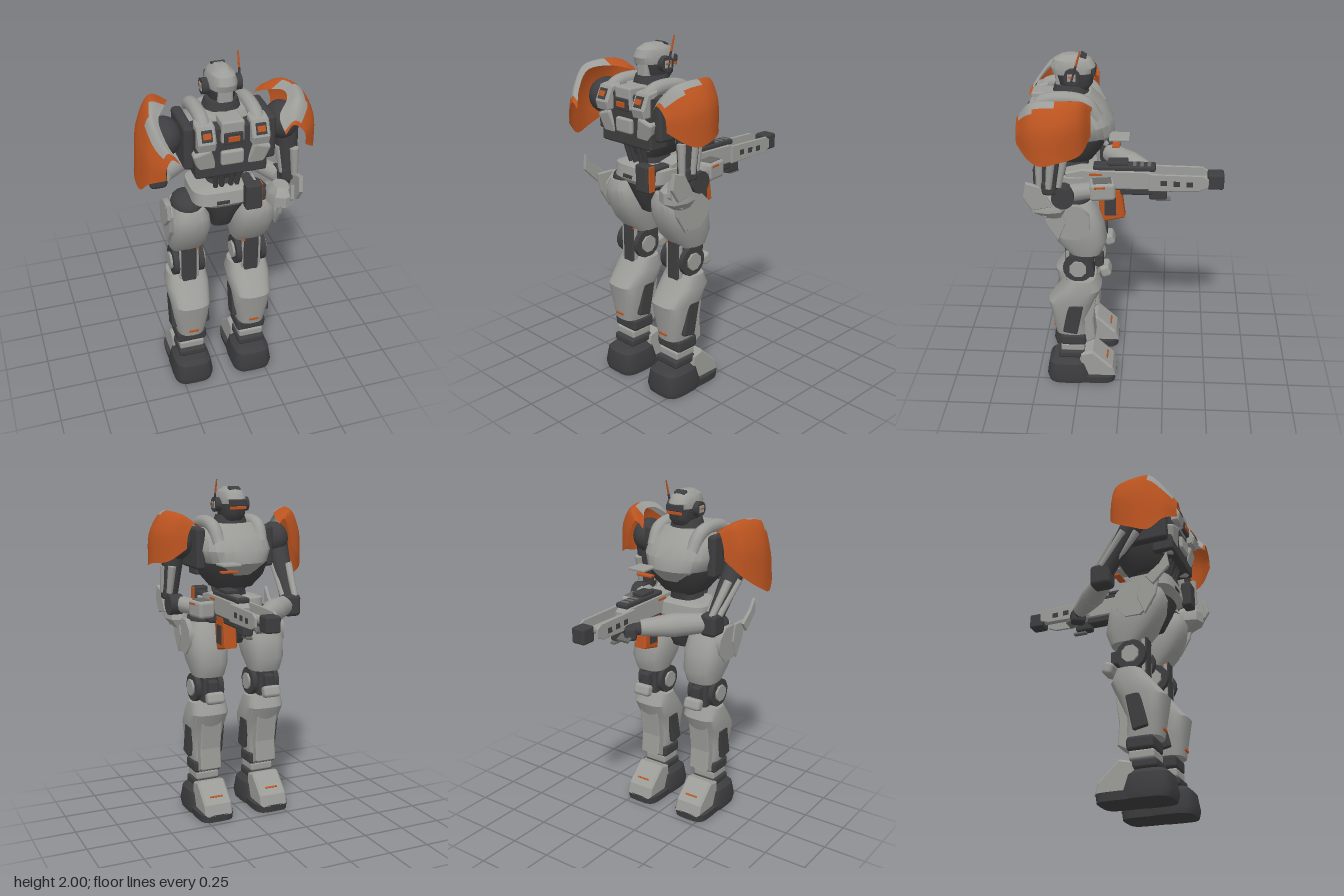
import * as THREE from 'three';
import { toCreasedNormals } from 'three/addons/utils/BufferGeometryUtils.js';
import { RoundedBoxGeometry } from 'three/addons/geometries/RoundedBoxGeometry.js';

const mat = (name, color, side = THREE.FrontSide) => {
  const m = new THREE.MeshStandardMaterial({ color, side });
  m.name = name;
  return m;
};
const GREY = mat('armour grey', 0x9c9c99), DARK = mat('dark frame', 0x3e3e40), MID = mat('mechanical grey', 0x686867);
const ORANGE = mat('orange paint', 0xbc5420), SHELL_GREY = mat('shell grey', 0x9c9c99, THREE.DoubleSide);
const SHELL_ORANGE = mat('shell orange', 0xbc5420, THREE.DoubleSide);
const V = (x, y, z) => new THREE.Vector3(x, y, z);

function add(g, name, geo, m, x = 0, y = 0, z = 0, rx = 0, ry = 0, rz = 0) {
  const mesh = new THREE.Mesh(geo, m);
  mesh.name = name;
  mesh.position.set(x, y, z);
  mesh.rotation.set(rx, ry, rz);
  g.add(mesh);
  return mesh;
}
const group = (parent, name, x = 0) => {
  const g = new THREE.Group();
  g.name = name;
  g.position.x = x;
  parent.add(g);
  return g;
};
const box = (w, h, d, r = 0.012) => new RoundedBoxGeometry(w, h, d, 2, Math.min(r, w / 3, h / 3, d / 3));
const cyl = (r1, r2, h, n = 16) => new THREE.CylinderGeometry(r1, r2, h, n);
const discX = (r, w, n = 16) => cyl(r, r, w, n).rotateY(Math.PI / n).rotateZ(Math.PI / 2);
const ball = (x, y, z) => new THREE.SphereGeometry(1, 16, 10).scale(x, y, z);

// Tapered rod between two points
function limb(g, name, a, b, ra, rb, m, n = 12) {
  const d = b.clone().sub(a), mid = a.clone().add(b).multiplyScalar(0.5);
  const mesh = add(g, name, cyl(rb, ra, d.length(), n), m, mid.x, mid.y, mid.z);
  mesh.quaternion.setFromUnitVectors(V(0, 1, 0), d.normalize());
}

function indexed(pos, idx) {
  const geo = new THREE.BufferGeometry();
  geo.setAttribute('position', new THREE.Float32BufferAttribute(pos, 3));
  geo.setIndex(idx);
  return geo;
}

// Closed body from rounded-square rings [y, centreZ, radiusX, radiusZ], bottom to top
function loft(rings, p = 0.7, n = 24) {
  const pos = [], idx = [], pw = v => Math.sign(v) * Math.abs(v) ** p;
  for (const [y, cz, rx, rz] of rings)
    for (let j = 0; j < n; j++) {
      const a = j / n * Math.PI * 2;
      pos.push(rx * pw(Math.cos(a)), y, cz + rz * pw(Math.sin(a)));
    }
  const last = rings.length - 1;
  for (let i = 0; i < last; i++)
    for (let j = 0; j < n; j++) {
      const k = (j + 1) % n, a = i * n + j, b = i * n + k;
      idx.push(a, a + n, b, b, a + n, b + n);
    }
  const c0 = pos.length / 3;
  pos.push(0, rings[0][0], rings[0][1], 0, rings[last][0], rings[last][1]);
  for (let j = 0; j < n; j++) {
    const k = (j + 1) % n;
    idx.push(c0, j, k, c0 + 1, last * n + k, last * n + j);
  }
  return toCreasedNormals(indexed(pos, idx), 0.6);
}

// Side outline in (z, y), extruded across x
function side(points, w, bevel = 0.008) {
  const s = new THREE.Shape(points.map(q => new THREE.Vector2(q[0], q[1])));
  return new THREE.ExtrudeGeometry(s, { depth: w - 2 * bevel, bevelSize: bevel, bevelThickness: bevel, bevelSegments: 1 })
    .translate(0, 0, -w / 2 + bevel).rotateY(-Math.PI / 2);
}

// Shoulder shell through sections [z, x,y inner edge, x,y crest, x,y outside, x,y lower edge], split in two colours
function pauldron(g, s, sections, isGrey) {
  const N = 28, M = 20, pos = [], idx = [[], []];
  const rails = [1, 3, 5, 7].map(k => new THREE.CatmullRomCurve3(sections.map(q => V(s * q[k], q[k + 1], q[0])), false, 'centripetal'));
  for (let i = 0; i <= N; i++) {
    const curve = new THREE.CatmullRomCurve3(rails.map(r => r.getPoint(i / N)), false, 'centripetal');
    for (let j = 0; j <= M; j++) {
      pos.push(...curve.getPoint(j / M).toArray());
      if (i < N && j < M) {
        const a = i * (M + 1) + j, b = a + M + 1;
        idx[isGrey(i / N, j / M) ? 0 : 1].push(...(s > 0 ? [a, b, a + 1, b, b + 1, a + 1] : [a, a + 1, b, b, a + 1, b + 1]));
      }
    }
  }
  idx.forEach((list, i) => {
    const geo = indexed(pos, list);
    geo.computeVertexNormals();
    add(g, i ? 'shoulderShellPaint' : 'shoulderShellTop', geo, i ? SHELL_ORANGE : SHELL_GREY);
  });
}

function buildLeg(root, s) {
  const g = group(root, s > 0 ? 'leftLeg' : 'rightLeg', s * 0.182);
  // thigh and hip plate
  add(g, 'thigh', loft([[0.87, 0.2, 0.09, 0.09], [0.95, 0.22, 0.11, 0.14], [1.06, 0.255, 0.122, 0.155], [1.14, 0.275, 0.108, 0.145], [1.19, 0.28, 0.085, 0.12]]), GREY);
  add(g, 'hipPlate', discX(0.11, 0.03, 8), GREY, s * 0.11, 1.1, 0.27);
  add(g, 'hipJoint', ball(0.085, 0.065, 0.11), DARK, s * 0.005, 1.19, 0.28);
  add(g, 'thighTrim', box(0.07, 0.009, 0.008, 0.002), ORANGE, s * -0.02, 0.888, 0.308);
  // knee
  add(g, 'kneeCore', box(0.085, 0.26, 0.16), DARK, 0, 0.79, 0.235);
  for (const e of [-1, 1]) {
    add(g, 'kneeWheel', discX(0.085, 0.03), DARK, e * 0.072, 0.79, 0.24);
    add(g, 'kneeDisc', discX(0.05, 0.02, 8), GREY, e * 0.09, 0.79, 0.24);
    add(g, 'kneeStrut', box(0.01, 0.19, 0.02), GREY, e * 0.05, 0.79, 0.3);
  }
  add(g, 'kneeCap', box(0.11, 0.07, 0.06, 0.02), GREY, 0, 0.75, 0.09, 0.35);
  add(g, 'kneeCapLink', box(0.06, 0.08, 0.05), DARK, 0, 0.81, 0.125);
  // shin
  add(g, 'shin', loft([[0.33, 0.285, 0.08, 0.1], [0.44, 0.3, 0.1, 0.1], [0.55, 0.285, 0.113, 0.135], [0.64, 0.23, 0.122, 0.117], [0.71, 0.22, 0.11, 0.075]]), GREY);
  add(g, 'shinGuard', side([[0.16, 0.3], [0.23, 0.26], [0.25, 0.4], [0.2, 0.46], [0.14, 0.62], [0.17, 0.42]], 0.13), GREY);
  for (const e of [-1, 1]) add(g, 'shinVent', box(0.03, 0.2, 0.085), DARK, e * 0.098, 0.46, 0.275, -0.2);
  add(g, 'shinMark', box(0.055, 0.014, 0.008, 0.002), ORANGE, 0, 0.37, 0.392);
  // ankle
  add(g, 'ankleCuff', box(0.175, 0.075, 0.15, 0.02), DARK, 0, 0.295, 0.28);
  add(g, 'ankleShaft', box(0.1, 0.2, 0.11), MID, 0, 0.22, 0.29);
  add(g, 'anklePlate', box(0.145, 0.05, 0.14), GREY, 0, 0.235, 0.285);
  add(g, 'ankleBase', box(0.16, 0.05, 0.16, 0.02), DARK, 0, 0.185, 0.29);
  // foot
  add(g, 'heel', loft([[0, 0.31, 0.112, 0.125], [0.04, 0.31, 0.12, 0.135], [0.13, 0.315, 0.105, 0.115], [0.155, 0.315, 0.08, 0.09]], 0.55), DARK);
  add(g, 'sole', loft([[0, 0.16, 0.105, 0.125], [0.045, 0.16, 0.11, 0.13]], 0.5), DARK);
  add(g, 'toeCap', side([[0.24, 0.05], [0.23, 0.19], [0.17, 0.205], [0.06, 0.1], [0.045, 0.05]], 0.175, 0.012), GREY);
  add(g, 'toeMark', box(0.08, 0.008, 0.01, 0.001), ORANGE, 0, 0.141, 0.085, -0.76);
}

function buildTorso(root) {
  const g = group(root, 'torso');
  add(g, 'crotch', loft([[1.04, 0.27, 0.06, 0.07], [1.13, 0.27, 0.08, 0.12], [1.22, 0.28, 0.15, 0.13]]), DARK);
  add(g, 'pelvis', loft([[1.2, 0.28, 0.11, 0.12], [1.24, 0.29, 0.18, 0.15], [1.31, 0.29, 0.18, 0.14], [1.33, 0.29, 0.1, 0.1]], 0.5), GREY);
  add(g, 'pelvisSlot', box(0.07, 0.02, 0.008, 0.002), DARK, -0.03, 1.255, 0.438);
  add(g, 'waist', loft([[1.28, 0.29, 0.1, 0.1], [1.36, 0.28, 0.08, 0.09], [1.44, 0.28, 0.13, 0.13]]), DARK);
  add(g, 'abdomen', loft([[1.38, 0.28, 0.12, 0.12], [1.45, 0.27, 0.18, 0.16], [1.53, 0.26, 0.2, 0.19]]), DARK);
  add(g, 'chest', loft([[1.46, 0.24, 0.12, 0.14], [1.53, 0.245, 0.19, 0.2], [1.6, 0.245, 0.215, 0.195], [1.68, 0.265, 0.205, 0.16], [1.75, 0.28, 0.14, 0.11]], 0.82), GREY);
  add(g, 'collar', cyl(0.085, 0.11, 0.08), DARK, 0, 1.755, 0.28);
  add(g, 'backFrame', box(0.38, 0.28, 0.12), DARK, 0, 1.58, 0.41);
  add(g, 'backCore', box(0.12, 0.12, 0.13), GREY, 0, 1.695, 0.425);
  add(g, 'backScreen', box(0.1, 0.065, 0.02), DARK, 0, 1.665, 0.49);
  add(g, 'backLight', box(0.06, 0.028, 0.008, 0.002), ORANGE, 0, 1.665, 0.502);
  add(g, 'lowerCore', box(0.12, 0.08, 0.08), GREY, 0, 1.55, 0.45);
  add(g, 'lowerBlock', box(0.13, 0.05, 0.07), DARK, 0, 1.48, 0.43);
  for (const s of [-1, 1]) {
    const path = new THREE.CatmullRomCurve3([V(s * 0.13, 1.64, 0.13), V(s * 0.14, 1.73, 0.19), V(s * 0.14, 1.755, 0.31), V(s * 0.14, 1.73, 0.43), V(s * 0.14, 1.64, 0.47)]);
    add(g, 'shoulderStrap', new THREE.TubeGeometry(path, 20, 0.038, 10), GREY);
    add(g, 'backTower', side([[0.42, 1.625], [0.5, 1.625], [0.51, 1.66], [0.475, 1.735], [0.42, 1.745]], 0.095), GREY, s * 0.14);
    add(g, 'towerPanel', box(0.055, 0.06, 0.008, 0.002), DARK, s * 0.14, 1.7, 0.501, -0.44);
    add(g, 'towerLamp', box(0.042, 0.03, 0.008, 0.002), ORANGE, s * 0.14, 1.701, 0.505, -0.44);
    add(g, 'backRib', box(0.1, 0.17, 0.07, 0.015), GREY, s * 0.135, 1.525, 0.44, 0.2, 0, s * -0.3);
    add(g, 'sidePad', box(0.055, 0.24, 0.26, 0.02), DARK, s * 0.215, 1.61, 0.32);
    for (const x of [0.03, 0.07]) limb(g, 'waistCable', V(s * x, 1.46, 0.42), V(s * x * 0.8, 1.31, 0.38), 0.014, 0.014, DARK, 8);
  }
}

function buildHead(root) {
  const g = group(root, 'head', 0.003);
  add(g, 'neck', cyl(0.055, 0.06, 0.12), DARK, 0, 1.76, 0.28);
  add(g, 'jaw', loft([[1.76, 0.25, 0.05, 0.06], [1.8, 0.25, 0.068, 0.09], [1.86, 0.255, 0.072, 0.1]]), DARK);
  add(g, 'helmet', loft([[1.855, 0.265, 0.072, 0.11], [1.89, 0.265, 0.075, 0.12], [1.93, 0.268, 0.062, 0.1], [1.955, 0.27, 0.03, 0.055]], 0.8), GREY);
  add(g, 'helmetBack', box(0.08, 0.1, 0.07, 0.02), GREY, 0, 1.82, 0.325);
  add(g, 'visor', box(0.11, 0.04, 0.02), DARK, 0, 1.868, 0.155);
  add(g, 'visorGlow', box(0.1, 0.018, 0.009, 0.002), ORANGE, 0, 1.84, 0.15);
  add(g, 'crownVent', box(0.07, 0.02, 0.035, 0.004), DARK, 0, 1.944, 0.21, -0.5);
  for (const s of [-1, 1]) {
    add(g, 'earPod', discX(0.042, 0.05), DARK, s * 0.08, 1.855, 0.265);
    add(g, 'earCap', box(0.01, 0.04, 0.045, 0.003), GREY, s * 0.104, 1.855, 0.265);
    add(g, 'earMark', box(0.008, 0.008, 0.035, 0.002), ORANGE, s * 0.107, 1.858, 0.265);
  }
  limb(g, 'antennaBase', V(0.104, 1.83, 0.268), V(0.104, 1.92, 0.241), 0.008, 0.006, DARK, 8);
  limb(g, 'antennaTip', V(0.104, 1.92, 0.241), V(0.104, 2, 0.217), 0.006, 0.004, ORANGE, 8);
}

function buildArms(root) {
  for (const s of [-1, 1]) {
    const g = group(root, s > 0 ? 'leftArm' : 'rightArm');
    const elbow = s > 0 ? V(0.35, 1.31, 0.37) : V(-0.3, 1.28, 0.1);
    const shoulder = V(s * 0.33, 1.64, 0.34), mid = shoulder.clone().lerp(elbow, 0.4);
    add(g, 'shoulderJoint', ball(0.085, 0.1, 0.11), DARK, s * 0.31, 1.64, 0.33);
    limb(g, 'upperArm', shoulder, elbow, 0.07, 0.045, DARK);
    for (const [x, z] of [[0.048, 0], [-0.045, 0.01], [0.02, 0.065], [0.02, -0.06]])
      limb(g, 'armPiston', mid.clone().add(V(s * x, 0, z)), elbow.clone().add(V(s * x * 0.8, 0.04, z * 0.8)), 0.024, 0.018, GREY, 8);
    // hip fins beside the arm
    add(g, 'hipFin', side([[0.48, 1.32], [0.49, 1.24], [0.4, 1.15], [0.36, 1.2], [0.44, 1.26]], 0.02, 0.003), GREY, s * 0.335);
    add(g, 'hipTail', side([[0.42, 1.2], [0.4, 1.1], [0.34, 1.0], [0.3, 1.1], [0.32, 1.2]], 0.02, 0.004), GREY, s * 0.305);
    if (s > 0) {
      add(g, 'elbow', discX(0.06, 0.08), DARK, 0.345, 1.285, 0.3);
      add(g, 'elbowCap', box(0.09, 0.08, 0.08, 0.02), DARK, 0.35, 1.345, 0.37);
      add(g, 'elbowPlate', side([[0.36, 1.24], [0.46, 1.22], [0.505, 1.29], [0.49, 1.37], [0.42, 1.35]], 0.025, 0.004), GREY, 0.375);
      add(g, 'elbowGuard', loft([[1.14, 0.36, 0.03, 0.05], [1.19, 0.39, 0.075, 0.1], [1.25, 0.4, 0.07, 0.09], [1.29, 0.4, 0.04, 0.05]], 0.8, 8), GREY, 0.3);
      limb(g, 'forearm', V(0.33, 1.29, 0.32), V(0.25, 1.28, 0.14), 0.05, 0.045, GREY, 10);
      add(g, 'forearmBlock', box(0.1, 0.1, 0.14, 0.02), GREY, 0.255, 1.285, 0.1, 0, 0.15);
      add(g, 'forearmPanel', box(0.07, 0.008, 0.1, 0.002), MID, 0.255, 1.335, 0.1, 0, 0.15);
      add(g, 'forearmMark', box(0.008, 0.012, 0.06, 0.002), ORANGE, 0.305, 1.315, 0.11, 0, 0.15);
      add(g, 'hand', box(0.08, 0.08, 0.09, 0.02), DARK, 0.165, 1.23, 0.15);
      pauldron(g, s, [
        [0.15, 0.22, 1.72, 0.27, 1.76, 0.31, 1.7, 0.32, 1.62], [0.2, 0.25, 1.75, 0.34, 1.81, 0.4, 1.72, 0.41, 1.55],
        [0.31, 0.32, 1.795, 0.38, 1.825, 0.455, 1.72, 0.472, 1.53], [0.4, 0.31, 1.79, 0.37, 1.82, 0.45, 1.71, 0.468, 1.51],
        [0.46, 0.25, 1.73, 0.35, 1.8, 0.43, 1.69, 0.44, 1.53], [0.53, 0.26, 1.66, 0.3, 1.71, 0.36, 1.66, 0.37, 1.59],
      ], (u, v) => u > 0.25 && u < 0.94 && (u > 0.68 ? v < 0.5 : v < (u > 0.42 ? 0.42 : 0.25)));
    } else {
      add(g, 'elbow', box(0.1, 0.13, 0.12, 0.025), DARK, -0.3, 1.27, 0.09);
      limb(g, 'forearm', V(-0.27, 1.27, 0.09), V(-0.13, 1.265, -0.04), 0.055, 0.068, GREY, 14);
      limb(g, 'forearmCuff', V(-0.13, 1.265, -0.04), V(0, 1.26, -0.175), 0.068, 0.045, GREY, 14);
      limb(g, 'wrist', V(-0.02, 1.26, -0.15), V(0.03, 1.25, -0.2), 0.035, 0.035, DARK);
      add(g, 'hand', box(0.07, 0.08, 0.09, 0.02), DARK, 0.04, 1.235, -0.21, 0, 0.6);
      for (let i = 0; i < 4; i++) limb(g, 'finger', V(0.02 + i * 0.02, 1.22, -0.23), V(0.02 + i * 0.02, 1.2, -0.275), 0.011, 0.01, MID, 8);
      pauldron(g, s, [
        [0.15, 0.26, 1.74, 0.29, 1.77, 0.32, 1.7, 0.33, 1.62], [0.2, 0.26, 1.77, 0.35, 1.815, 0.41, 1.7, 0.42, 1.53],
        [0.33, 0.31, 1.8, 0.38, 1.825, 0.45, 1.7, 0.474, 1.44], [0.42, 0.36, 1.78, 0.4, 1.8, 0.445, 1.67, 0.468, 1.41],
        [0.5, 0.34, 1.69, 0.375, 1.71, 0.42, 1.61, 0.435, 1.48], [0.555, 0.29, 1.6, 0.33, 1.63, 0.36, 1.58, 0.36, 1.52],
      ], (u, v) => u > 0.33 && u < 0.9 && v < (u > 0.55 ? 0.5 : 0.33));
    }
  }
}

function buildRifle(root) {
  const g = group(root, 'rifle', 0.125);
  add(g, 'muzzle', box(0.085, 0.09, 0.09), DARK, 0, 1.295, -0.513);
  limb(g, 'barrel', V(0, 1.295, -0.48), V(0, 1.295, -0.15), 0.022, 0.022, GREY);
  add(g, 'receiver', side([[0.3, 1.25], [0.3, 1.33], [0.22, 1.35], [-0.15, 1.345], [-0.18, 1.32], [-0.18, 1.25]], 0.09), GREY);
  add(g, 'lowerReceiver', box(0.075, 0.05, 0.34), DARK, 0, 1.23, 0);
  add(g, 'topRail', box(0.08, 0.03, 0.34), DARK, 0, 1.363, -0.015);
  for (let i = 0; i < 3; i++) add(g, 'railBar', box(0.055, 0.008, 0.02, 0.002), MID, 0, 1.378, -0.15 + i * 0.04);
  add(g, 'railBlock', box(0.075, 0.02, 0.11, 0.005), DARK, 0, 1.39, 0.02);
  add(g, 'foregrip', box(0.06, 0.06, 0.1), DARK, 0, 1.205, -0.2);
  add(g, 'foregripTip', box(0.03, 0.015, 0.08, 0.004), MID, 0, 1.17, -0.23);
  for (const s of [-1, 1]) {
    add(g, 'sideRail', side([[-0.15, 1.25], [-0.15, 1.345], [-0.44, 1.34], [-0.47, 1.32], [-0.47, 1.275], [-0.42, 1.255]], 0.014, 0.003), GREY, s * 0.06);
    for (let i = 0; i < 3; i++) add(g, 'railSlot', box(0.008, 0.03, 0.035, 0.002), DARK, s * 0.066, 1.297 - i * 0.003, -0.23 - i * 0.07);
    add(g, 'receiverMark', box(0.006, 0.012, 0.07, 0.001), ORANGE, s * 0.046, 1.33, 0.14);
    add(g, 'magazineWindow', box(0.006, 0.11, 0.065, 0.001), DARK, s * 0.041, 1.135, 0.062);
  }
  // magazine, stock and raised sight
  add(g, 'magazine', side([[0.13, 1.235], [0.01, 1.235], [-0.01, 1.07], [0.105, 1.045]], 0.078), ORANGE);
  limb(g, 'grip', V(0, 1.25, 0.17), V(0, 1.14, 0.2), 0.026, 0.026, DARK);
  add(g, 'stock', box(0.06, 0.09, 0.2), DARK, 0, 1.29, 0.35);
  add(g, 'buttPad', box(0.09, 0.15, 0.06), DARK, 0, 1.285, 0.455);
  add(g, 'buttStripe', box(0.009, 0.14, 0.04, 0.003), ORANGE, 0.046, 1.285, 0.45);
  add(g, 'sightPlate', box(0.11, 0.014, 0.11, 0.004), GREY, 0, 1.537, 0.012);
  add(g, 'sightLight', box(0.1, 0.012, 0.04, 0.003), ORANGE, -0.01, 1.493, 0.03);
}

export function createModel() {
  const root = new THREE.Group();
  root.name = 'armouredTrooper';
  for (const s of [-1, 1]) buildLeg(root, s);
  buildTorso(root);
  buildHead(root);
  buildArms(root);
  buildRifle(root);
  return root;
}
